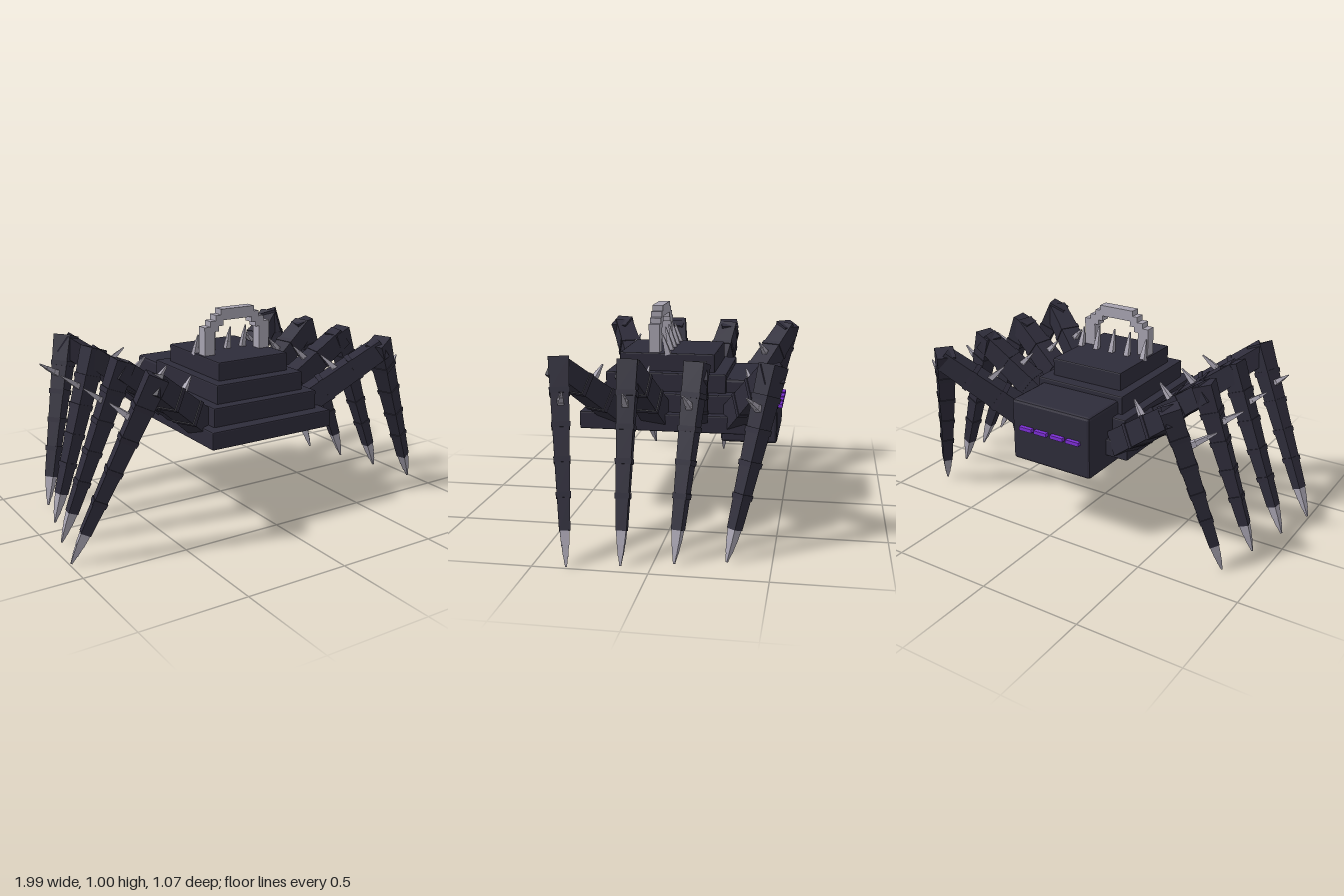
import * as THREE from 'three';
import { RoundedBoxGeometry } from 'three/addons/geometries/RoundedBoxGeometry.js';

const material = (name, color) => {
  const m = new THREE.MeshStandardMaterial({ color });
  m.name = name;
  return m;
};

const V = (x, y, z) => new THREE.Vector3(x, y, z);

// Faceted normals for every flat-sided part
function faceted(geometry) {
  const g = geometry.index ? geometry.toNonIndexed() : geometry;
  g.computeVertexNormals();
  return g;
}

function addMesh(parent, name, geometry, mat) {
  const mesh = new THREE.Mesh(geometry, mat);
  mesh.name = name;
  parent.add(mesh);
  return mesh;
}

// Chamfered box given by its limits
function block(parent, name, mat, [x0, x1], [y0, y1], [z0, z1], bevel) {
  const g = new RoundedBoxGeometry(x1 - x0, y1 - y0, z1 - z0, 1, bevel);
  const mesh = addMesh(parent, name, faceted(g), mat);
  mesh.position.set((x0 + x1) / 2, (y0 + y1) / 2, (z0 + z1) / 2);
  return mesh;
}

// Square tapered bar along +y, from y0 to y1
function taper(parent, name, mat, y0, y1, w0, w1) {
  const g = new THREE.CylinderGeometry(w1 * Math.SQRT1_2, w0 * Math.SQRT1_2, y1 - y0, 4);
  g.rotateY(Math.PI / 4);
  const mesh = addMesh(parent, name, faceted(g), mat);
  mesh.position.y = (y0 + y1) / 2;
  return mesh;
}

// Group whose y axis runs from a to b, with its x axis kept level
function axisGroup(parent, name, a, b) {
  const group = new THREE.Group();
  group.name = name;
  const y = b.clone().sub(a).normalize();
  const x = V(y.z, 0, -y.x);
  if (x.lengthSq() < 1e-6) x.set(1, 0, 0);
  x.normalize();
  const z = x.clone().cross(y);
  group.quaternion.setFromRotationMatrix(new THREE.Matrix4().makeBasis(x, y, z));
  group.position.copy(a);
  parent.add(group);
  return group;
}

// Overlapping armour plates, each a little wider than the next one's start
function limb(parent, name, mat, a, b, w0, w1, count) {
  const group = axisGroup(parent, name, a, b);
  const length = a.distanceTo(b);
  for (let i = 0; i < count; i++) {
    const t0 = i / count, t1 = (i + 1) / count;
    const start = THREE.MathUtils.lerp(w0, w1, t0);
    const end = THREE.MathUtils.lerp(w0, w1, t1);
    taper(group, 'legPlate', mat, t0 * length, t1 * length, start, end);
    if (i > 0) taper(group, 'legCollar', mat, t0 * length - 0.012, t0 * length + 0.012, start + 0.009, start + 0.006);
  }
  return group;
}

// Three-stage pointed spike
function spike(parent, name, mat, a, b, width) {
  const group = axisGroup(parent, name, a, b);
  const length = a.distanceTo(b);
  taper(group, 'spikeBase', mat, 0, length * 0.4, width, width * 0.8);
  taper(group, 'spikeMiddle', mat, length * 0.4, length * 0.72, width * 0.74, width * 0.52);
  taper(group, 'spikeTip', mat, length * 0.72, length, width * 0.46, width * 0.18);
}

export function createModel() {
  const model = new THREE.Group();
  model.name = 'armouredSpider';
  const shell = material('dark shell', 0x2e2c3a);
  const bone = material('grey bone', 0xa7a3b0);
  const violet = material('violet eyes', 0x7d2fd6);

  // Stepped body and head
  block(model, 'bodyBase', shell, [-0.335, 0.335], [0.43, 0.515], [-0.335, 0.465], 0.006);
  block(model, 'bodyLower', shell, [-0.29, 0.29], [0.51, 0.605], [-0.28, 0.405], 0.006);
  block(model, 'bodyUpper', shell, [-0.243, 0.243], [0.6, 0.695], [-0.23, 0.355], 0.006);
  block(model, 'bodyTop', shell, [-0.195, 0.195], [0.69, 0.783], [-0.17, 0.295], 0.006);
  block(model, 'head', shell, [-0.22, 0.22], [0.36, 0.67], [-0.475, -0.205], 0.014);

  // Row of narrow eyes
  for (const x of [-0.135, -0.046, 0.046, 0.132]) {
    const eye = addMesh(model, 'eye', new THREE.BoxGeometry(0.07, 0.018, 0.024), violet);
    eye.position.set(x, 0.536, -0.483);
  }

  // Stair-stepped arch on the back
  const outer = [[0.185, 0.775], [0.185, 0.92], [0.152, 0.92], [0.152, 0.946], [0.122, 0.946],
    [0.122, 0.973], [0.094, 0.973], [0.094, 1]];
  const inner = [[0.08, 0.946], [0.08, 0.92], [0.105, 0.92], [0.105, 0.895], [0.127, 0.895], [0.127, 0.775]];
  const mirror = (points) => points.map(([x, y]) => [-x, y]).reverse();
  const outline = [...outer, ...mirror(outer), ...mirror(inner).map((p) => p), ...inner];
  const archShape = new THREE.Shape(outline.map(([x, y]) => new THREE.Vector2(x, y)));
  const arch = new THREE.ExtrudeGeometry(archShape, { depth: 0.053, bevelEnabled: false });
  addMesh(model, 'arch', arch, bone).position.z = 0.1;

  // Spikes beside the arch
  [-0.182, -0.09, 0, 0.09, 0.182].forEach((x, i) => {
    const top = i % 4 === 0 ? 0.875 : 0.895;
    spike(model, 'backSpike', bone, V(x, 0.775, 0.058), V(x, top, 0.088), 0.027);
  });

  // Legs: hip z, knee z, foot x, foot z
  const legs = [
    [0.28, 0.468, 0.99, 0.352],
    [0.095, 0.155, 0.942, 0.13],
    [-0.085, -0.145, 0.886, -0.09],
    [-0.28, -0.468, 0.832, -0.308],
  ];
  for (const side of [1, -1]) {
    legs.forEach(([hipZ, kneeZ, footX, footZ]) => {
      const leg = new THREE.Group();
      leg.name = side > 0 ? 'leftLeg' : 'rightLeg';
      model.add(leg);
      const hip = V(side * 0.27, 0.495, hipZ);
      const knee = V(side * 0.632, 0.782, kneeZ);
      const foot = V(side * footX, 0.004, footZ);
      const ankle = knee.clone().lerp(foot, 0.825);
      const kneeTop = knee.clone().lerp(foot, -0.05);
      const thighEnd = hip.clone().lerp(knee, 1.03);

      limb(leg, 'upperLeg', shell, hip, thighEnd, 0.118, 0.094, 3);
      limb(leg, 'lowerLeg', shell, kneeTop, ankle, 0.092, 0.047, 5);
      spike(leg, 'claw', bone, ankle, foot, 0.042);

      // Thorns standing off each half of the leg
      const thighMid = hip.clone().lerp(knee, 0.55);
      spike(leg, 'upperThorn', bone, thighMid, thighMid.clone().add(V(side * -0.098, 0.1, (hipZ - kneeZ) * 0.25)), 0.034);
      const shinMid = knee.clone().lerp(foot, 0.2);
      spike(leg, 'lowerThorn', bone, shinMid, shinMid.clone().add(
        V(side * (0.805 - Math.abs(shinMid.x)), 0.088, (footZ - kneeZ) * 0.35)), 0.032);
    });
  }
  return model;
}
